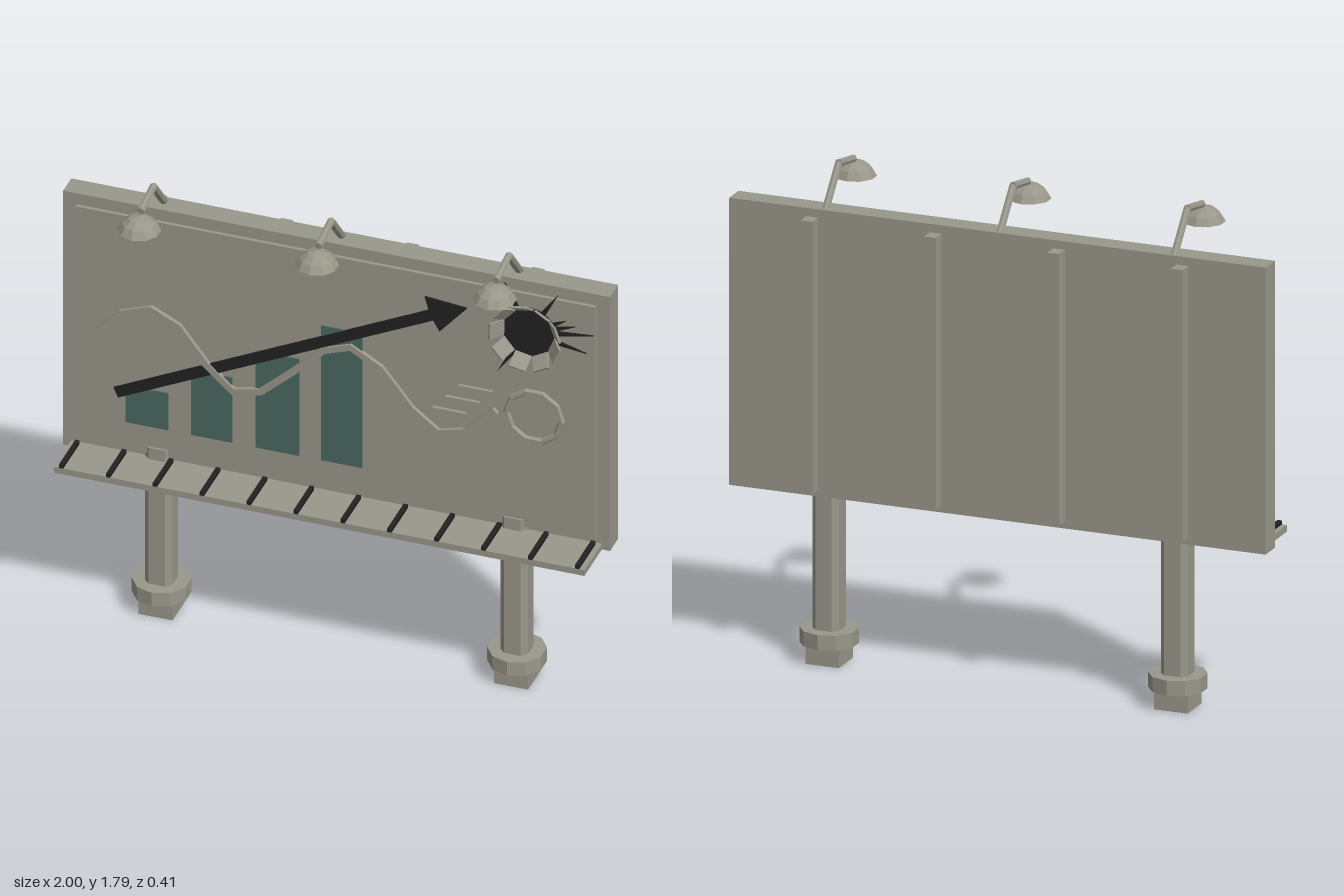
import * as THREE from 'three';

export function createModel() {
  const root = new THREE.Group();
  const concrete = new THREE.MeshStandardMaterial({ color: 0x99978a });
  const green = new THREE.MeshStandardMaterial({ color: 0x4a675f });
  const black = new THREE.MeshStandardMaterial({ color: 0x222222 });
  concrete.name = 'warm grey';
  green.name = 'chart green';
  black.name = 'black';
  for (const m of [concrete, green, black]) m.flatShading = true;

  function add(name, geo, mat, x = 0, y = 0, z = 0, parent = root) {
    const mesh = new THREE.Mesh(geo, mat);
    mesh.name = name;
    mesh.position.set(x, y, z);
    parent.add(mesh);
    return mesh;
  }
  // Box given by its min and max corners
  function box(name, mat, x0, x1, y0, y1, z0, z1, parent) {
    return add(name, new THREE.BoxGeometry(x1 - x0, y1 - y0, z1 - z0), mat,
      (x0 + x1) / 2, (y0 + y1) / 2, (z0 + z1) / 2, parent);
  }
  // Thin plate cut from an outline in x and y
  function plate(name, mat, pts, z, depth = 0.006) {
    const shape = new THREE.Shape(pts.map(p => new THREE.Vector2(p[0], p[1])));
    return add(name, new THREE.ExtrudeGeometry(shape, { depth, bevelEnabled: false }), mat, 0, 0, z);
  }
  // Ribbon of constant width along a polyline
  function ribbon(name, mat, pts, width, z, depth) {
    const left = [], right = [];
    pts.forEach((p, i) => {
      const a = pts[Math.max(i - 1, 0)], b = pts[Math.min(i + 1, pts.length - 1)];
      const len = Math.hypot(b[0] - a[0], b[1] - a[1]);
      const nx = -(b[1] - a[1]) / len * width / 2, ny = (b[0] - a[0]) / len * width / 2;
      left.push([p[0] + nx, p[1] + ny]);
      right.unshift([p[0] - nx, p[1] - ny]);
    });
    return plate(name, mat, [...left, ...right], z, depth);
  }
  // Round bar between two points
  function bar(name, mat, a, b, r, parent) {
    const dir = b.clone().sub(a);
    const mesh = add(name, new THREE.CylinderGeometry(r, r, dir.length(), 8), mat, 0, 0, 0, parent);
    mesh.position.copy(a).addScaledVector(dir, 0.5);
    mesh.quaternion.setFromUnitVectors(new THREE.Vector3(0, 1, 0), dir.normalize());
    return mesh;
  }

  // Board, raised poster sheet and rear ribs
  box('board', concrete, -1, 1, 0.61, 1.65, -0.155, -0.072);
  box('posterSheet', concrete, -0.95, 0.95, 0.65, 1.605, -0.073, -0.058);
  for (const x of [-0.69, -0.23, 0.23, 0.69])
    box('rearRib', concrete, x - 0.022, x + 0.022, 0.635, 1.62, -0.207, -0.15);

  // Posts with chamfered edges, collars and square feet
  for (const x of [-0.65, 0.65]) {
    const post = new THREE.Group();
    post.name = 'post';
    post.position.set(x, 0, -0.1);
    root.add(post);
    const h = 0.05, c = 0.03;
    const outline = [[h, -c], [h, c], [c, h], [-c, h], [-h, c], [-h, -c], [-c, -h], [c, -h]];
    const shape = new THREE.Shape(outline.map(p => new THREE.Vector2(...p)));
    const shaft = new THREE.ExtrudeGeometry(shape, { depth: 0.62, bevelEnabled: false });
    shaft.rotateX(-Math.PI / 2);
    add('postShaft', shaft, concrete, 0, 0.06, 0, post);
    add('postCollar', new THREE.CylinderGeometry(0.103, 0.103, 0.055, 10), concrete, 0, 0.096, 0, post);
    add('postFoot', new THREE.BoxGeometry(0.125, 0.07, 0.125), concrete, 0, 0.035, 0, post);
  }

  // Catwalk with dark cross slats
  box('catwalk', concrete, -0.97, 0.97, 0.61, 0.634, -0.08, 0.107);
  for (let i = 0; i < 12; i++) {
    const x = -0.943 + i * 0.1715;
    box('catwalkSlat', black, x - 0.008, x + 0.008, 0.634, 0.648, -0.06, 0.108);
  }

  // Lamps: bent arm and faceted dome shade
  for (const x of [-0.65, 0, 0.65]) {
    const lamp = new THREE.Group();
    lamp.name = 'lamp';
    lamp.position.x = x;
    root.add(lamp);
    const foot = new THREE.Vector3(0, 1.64, -0.135);
    const elbow = new THREE.Vector3(0, 1.778, -0.015);
    const tip = new THREE.Vector3(0, 1.755, 0.115);
    bar('lampArmLower', concrete, foot, elbow, 0.014, lamp);
    bar('lampArmUpper', concrete, elbow, tip, 0.014, lamp);
    const profile = [[0, 0], [0.077, 0], [0.06, 0.028], [0.035, 0.048], [0, 0.057]];
    add('lampShade', new THREE.LatheGeometry(profile.map(p => new THREE.Vector2(...p)), 10),
      concrete, 0, 1.69, 0.13, lamp);
  }

  // Bar chart
  const bars = [[-0.765, -0.61, 0.915], [-0.525, -0.375, 1.03], [-0.29, -0.13, 1.16], [-0.05, 0.1, 1.315]];
  for (const [x0, x1, top] of bars) box('chartBar', green, x0, x1, 0.765, top, -0.06, -0.052);

  // Rising arrow
  plate('trendArrow', black, [[-0.79, 0.863], [0.362, 1.43], [0.385, 1.39], [0.485, 1.505],
    [0.33, 1.52], [0.346, 1.468], [-0.807, 0.9]], -0.055, 0.008);

  // Wavy line, ring and short dashes
  ribbon('waveLine', concrete, [[-0.87, 1.11], [-0.78, 1.21], [-0.67, 1.25], [-0.57, 1.2], [-0.47, 1.07],
    [-0.37, 0.98], [-0.27, 1.0], [-0.15, 1.11], [-0.04, 1.22], [0.06, 1.255], [0.17, 1.19],
    [0.28, 1.05], [0.38, 0.975], [0.48, 1.0], [0.59, 1.11]], 0.025, -0.058, 0.016);
  add('ring', new THREE.TorusGeometry(0.101, 0.012, 6, 10), concrete, 0.73, 1.115, -0.052);
  for (const [x, y] of [[0.515, 1.18], [0.467, 1.125], [0.42, 1.07]])
    box('dash', concrete, x - 0.062, x + 0.062, y - 0.005, y + 0.005, -0.058, -0.045);

  // Burst hole: dark disc, flaps peeling forward and thin cracks
  const burst = new THREE.Group();
  burst.name = 'burstHole';
  burst.position.set(0.71, 1.455, -0.055);
  root.add(burst);
  const disc = add('holeDisc', new THREE.CylinderGeometry(0.1, 0.1, 0.006, 16), black, 0, 0, 0, burst);
  disc.rotation.x = Math.PI / 2;
  for (let i = 0; i < 9; i++) {
    const arm = new THREE.Group();
    arm.name = 'flapArm';
    arm.rotation.z = i / 9 * Math.PI * 2 + 0.15;
    burst.add(arm);
    const flap = add('flap', new THREE.BoxGeometry(0.062, 0.06, 0.008), concrete, 0, 0.11, 0.027, arm);
    flap.rotation.x = 0.9;
  }
  const cracks = [[0.15, 0.24], [0.5, 0.155], [0.33, 0.18], [-0.2, 0.215], [1.02, 0.205],
    [2.02, 0.205], [2.35, 0.18], [4.15, 0.22]];
  for (const [a, len] of cracks) {
    const w = 0.09 / 0.09 * 0.011, s = Math.sin(a), c = Math.cos(a), r = 0.08;
    const pts = [[r * c + w * s, r * s - w * c], [len * c, len * s], [r * c - w * s, r * s + w * c]];
    const shape = new THREE.Shape(pts.map(p => new THREE.Vector2(...p)));
    add('crack', new THREE.ExtrudeGeometry(shape, { depth: 0.006, bevelEnabled: false }),
      black, 0, 0, -0.002, burst);
  }
  return root;
}
